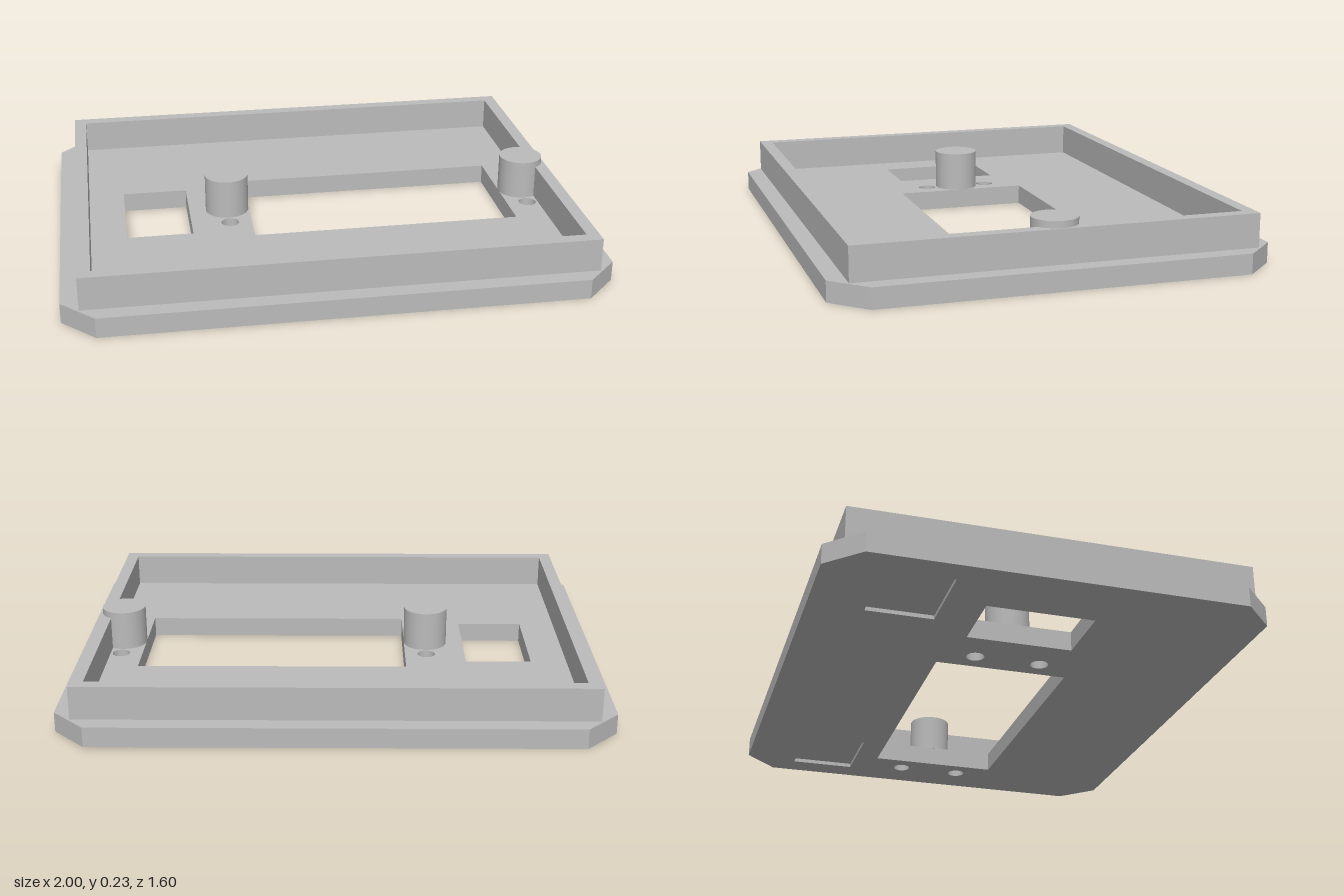
import * as THREE from 'three';

const grey = new THREE.MeshStandardMaterial({ color: 0xbbbbbb });
grey.name = 'grey plastic';

// Corner points of a rectangle in the x-z plane
const rect = (x0, x1, z0, z1) => [[x0, z0], [x1, z0], [x1, z1], [x0, z1]].map(([x, z]) => new THREE.Vector2(x, z));

const circle = (x, z, r) => new THREE.Path().absarc(x, z, r, 0, Math.PI * 2, true);

// Upright extrusion of an x-z outline with holes between two heights
function slab(name, outline, holes, y0, y1) {
  const shape = new THREE.Shape(outline);
  shape.holes.push(...holes);
  const geometry = new THREE.ExtrudeGeometry(shape, { depth: y1 - y0, bevelEnabled: false, curveSegments: 16 });
  geometry.rotateX(Math.PI / 2).translate(0, y1, 0);
  const mesh = new THREE.Mesh(geometry, grey);
  mesh.name = name;
  return mesh;
}

export function createModel() {
  const group = new THREE.Group();
  group.name = 'panelCover';

  const floorY = 0.075, recessY = 0.015;
  const pegXs = [-0.349, 0.844];

  // Base outline with chamfered corners
  const outline = [
    [-0.88, -0.8], [0.88, -0.8], [1, -0.677], [1, 0.677],
    [0.88, 0.8], [-0.88, 0.8], [-1, 0.677], [-1, -0.677],
  ].map(([x, z]) => new THREE.Vector2(x, z));

  // Two windows and four screw holes pass through the whole base
  const openings = [
    new THREE.Path(rect(-0.266, 0.761, -0.253, 0.253)),
    new THREE.Path(rect(-0.749, -0.498, -0.2, 0.2)),
  ];
  for (const x of pegXs) for (const z of [-0.125, 0.125]) openings.push(circle(x, z, 0.034));

  // Shallow square recesses on the underside, near the back
  const recesses = [-0.75, 0.75].map((x) => new THREE.Path(rect(x - 0.15, x + 0.15, -0.597, -0.347)));

  group.add(slab('baseUnderside', outline, [...openings, ...recesses], 0, recessY));
  group.add(slab('basePlate', outline, openings, recessY, floorY));

  // Raised rim
  group.add(slab('rimWall', rect(-0.934, 0.934, -0.735, 0.735),
    [new THREE.Path(rect(-0.886, 0.886, -0.687, 0.687))], floorY, 0.2));

  // Round mounting pegs
  for (const x of pegXs) {
    const peg = new THREE.Mesh(new THREE.CylinderGeometry(0.084, 0.084, 0.15, 48), grey);
    peg.position.set(x, floorY + 0.075, 0);
    peg.name = 'mountingPeg';
    group.add(peg);
  }
  return group;
}
